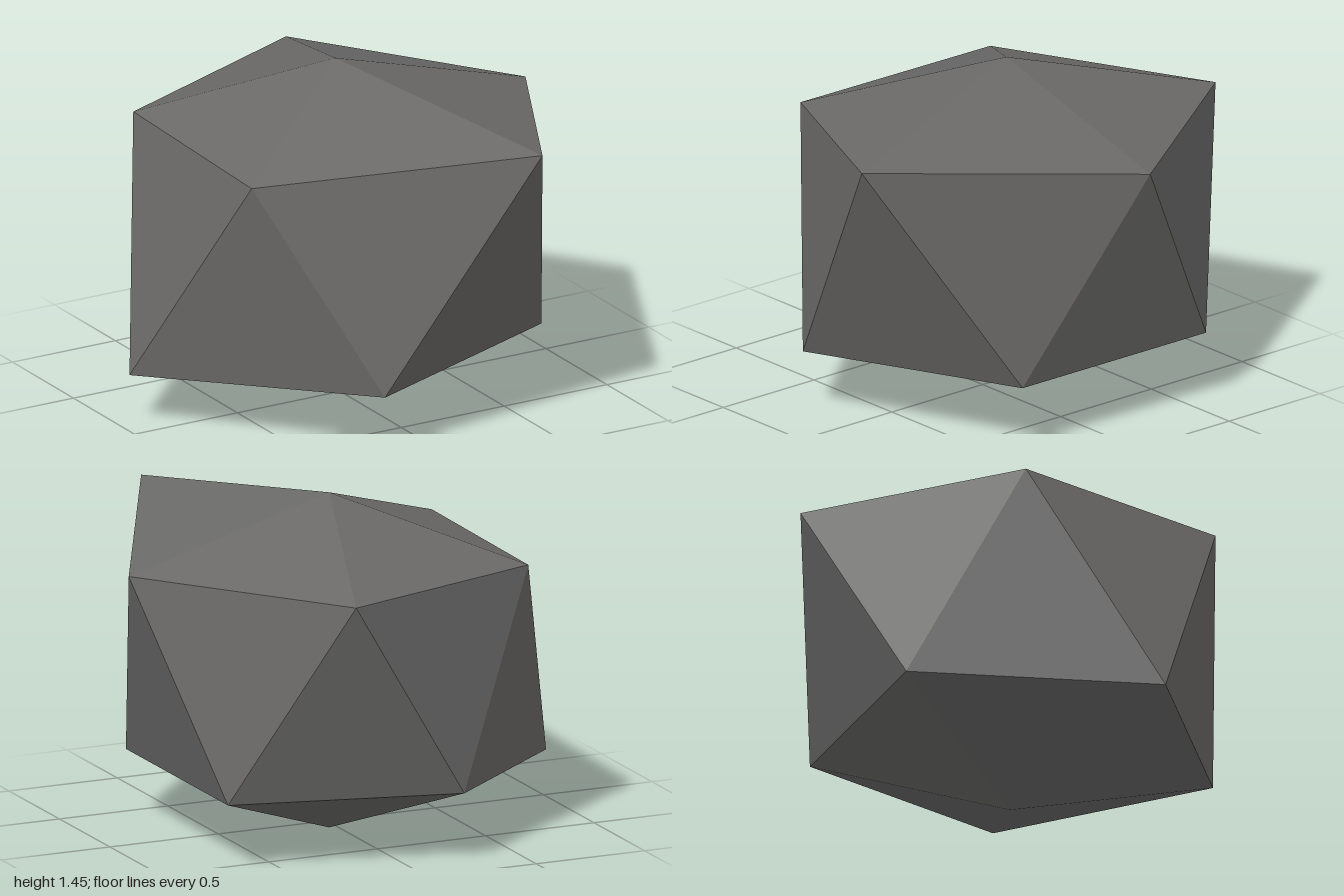
import * as THREE from 'three';

export function createModel() {
  const group = new THREE.Group();
  group.name = 'rock';
  const stone = new THREE.MeshStandardMaterial({ color: 0x6a6968, flatShading: true });
  stone.name = 'stone grey';

  // Irregular icosahedron: two poles and two staggered rings of five corners
  const top = [0.035, 1.45, -0.1];
  const bottom = [0.035, 0, -0.1];
  const upper = [
    [0.39, 1.3, 1.0], [0.96, 1.19, -0.1], [0.33, 1.2, -1.0], [-0.65, 1.18, -0.6], [-0.68, 1.17, 0.42],
  ];
  const lower = [
    [0.735, 0.295, 0.41], [0.735, 0.295, -0.6], [-0.22, 0.31, -0.89], [-0.965, 0.225, -0.1], [-0.245, 0.27, 0.78],
  ];

  const corners = [];
  const face = (a, b, c) => corners.push(...a, ...b, ...c);
  for (let i = 0; i < 5; i++) {
    const j = (i + 1) % 5;
    face(top, upper[i], upper[j]); // cap
    face(upper[i], lower[i], upper[j]); // side, pointing down
    face(upper[j], lower[i], lower[j]); // side, pointing up
    face(bottom, lower[j], lower[i]); // underside
  }

  const geometry = new THREE.BufferGeometry();
  geometry.setAttribute('position', new THREE.Float32BufferAttribute(corners, 3));
  geometry.computeVertexNormals();

  const boulder = new THREE.Mesh(geometry, stone);
  boulder.name = 'boulder';
  group.add(boulder);
  return group;
}
